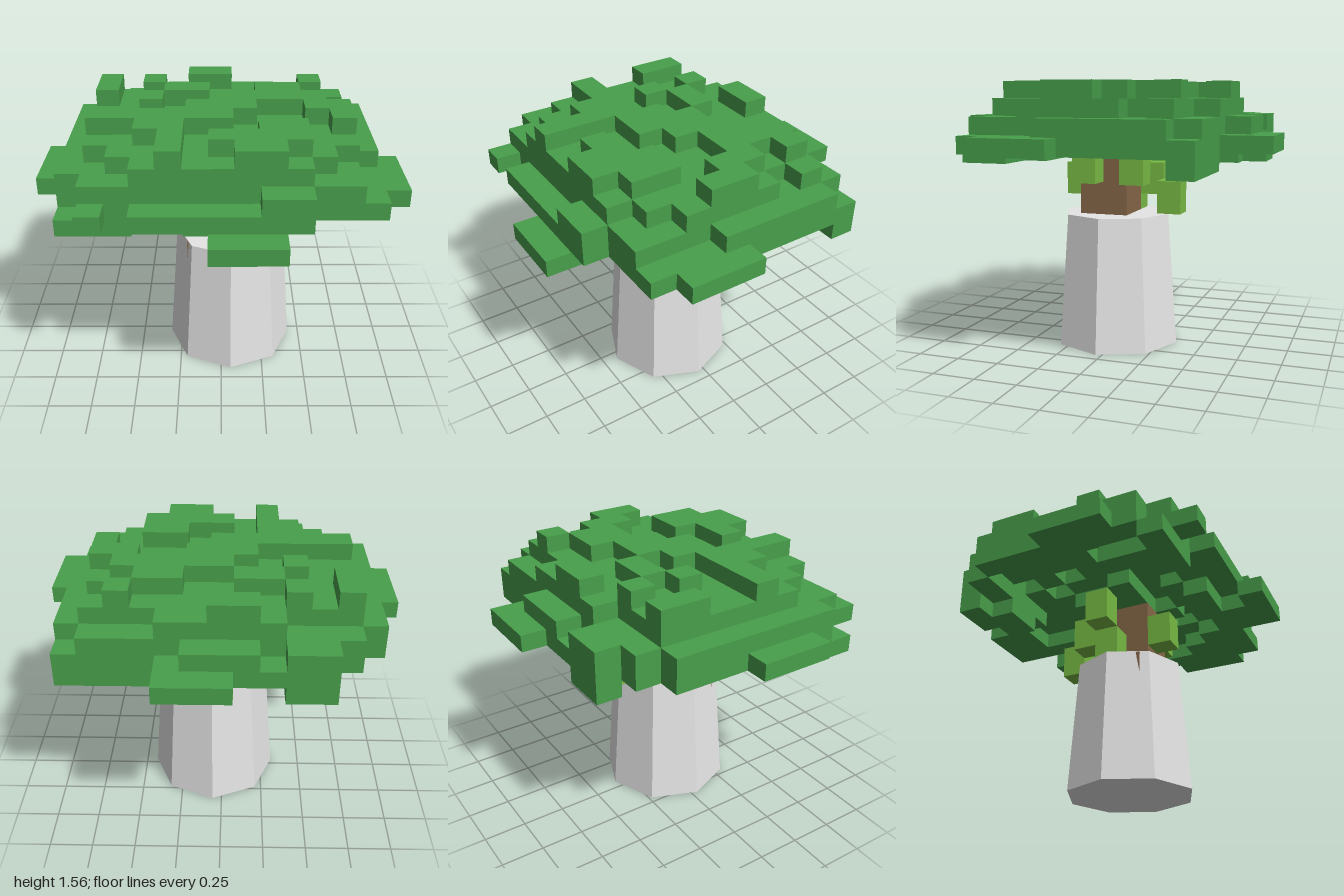
import * as THREE from 'three';
import { mergeGeometries } from 'three/addons/utils/BufferGeometryUtils.js';

// Block grid: cell width, depth, layer height and the corner of the first cell
const W = 2 / 15, D = 0.1435, H = 0.097;
const X0 = -1, Z0 = -0.934, Y0 = 0.784, CANOPY_Y = Y0 + 3 * H;

// Topmost layer of the canopy for each cell, rows run back to front
const TOPS = [
  '.......111.....',
  '...2212221.....',
  '..222344332221.',
  '.2434333333432.',
  '.2433443344322.',
  '.2334334444432.',
  '12333344433442.',
  '124444443333421',
  '123344333443311',
  '.22334344443211',
  '.0223433443221.',
  '..1.1111122....',
  '.......000.....',
];

// Lowest layer of the canopy for each cell
const BOTTOMS = [
  '.......111.....',
  '...0011111.....',
  '..110012210000.',
  '.1223222212311.',
  '.1222322232211.',
  '.1223211112321.',
  '11222211113321.',
  '112321111122211',
  '110232221232111',
  '.10022112221111',
  '.0001100111111.',
  '..1.1111001....',
  '.......000.....',
];

// A box covering a run of cells in one row, between two heights
function cellBox(col, row, cols, rows, y0, y1) {
  return new THREE.BoxGeometry(cols * W, y1 - y0, rows * D).translate(
    X0 + (col + cols / 2) * W, (y0 + y1) / 2, Z0 + (row + rows / 2) * D);
}

export function createModel() {
  const model = new THREE.Group();
  const mat = (name, color) => {
    const m = new THREE.MeshStandardMaterial({ color });
    m.name = name;
    return m;
  };
  const stone = mat('pale stone', 0xe6e6e6);
  stone.flatShading = true;
  const bark = mat('brown bark', 0x876848);
  const leaf = mat('dark leaf green', 0x489f4b);
  const sprout = mat('light leaf green', 0x7abd45);

  const add = (name, geometry, material) => {
    const mesh = new THREE.Mesh(geometry, material);
    mesh.name = name;
    model.add(mesh);
  };

  // Eight-sided tapered pot
  add('pot', new THREE.CylinderGeometry(0.32, 0.377, Y0, 8)
    .translate(0.056, Y0 / 2, 0.036), stone);

  // Trunk with its root block sunk into the pot
  add('trunk', cellBox(7, 6, 2, 2, 0.7, 1.3), bark);
  add('root', cellBox(6, 6, 3, 2, 0.59, 0.778), bark);

  // Small leaf blocks around the trunk: column, row, starting layer
  const sprouts = [
    [7, 8, 1], [9, 7, 2], [9, 5, 2], [5, 6, 2], [6, 6, 0], [6, 5, 1], [7, 4, 0],
  ];
  sprouts.forEach(([c, r, l]) => {
    const y = Y0 + l * H;
    add('leafBlock', cellBox(c, r, 1, 1, y, y + 2 * H), sprout);
  });

  // Canopy: neighbouring cells with equal top and bottom share one box
  const boxes = [];
  TOPS.forEach((line, row) => {
    for (let c = 0; c < line.length;) {
      let end = c + 1;
      while (end < line.length && line[end] === line[c] &&
        BOTTOMS[row][end] === BOTTOMS[row][c]) end++;
      if (line[c] !== '.') {
        boxes.push(cellBox(c, row, end - c, 1,
          CANOPY_Y + Number(BOTTOMS[row][c]) * H,
          CANOPY_Y + (Number(line[c]) + 1) * H));
      }
      c = end;
    }
  });
  add('canopy', mergeGeometries(boxes), leaf);

  return model;
}
